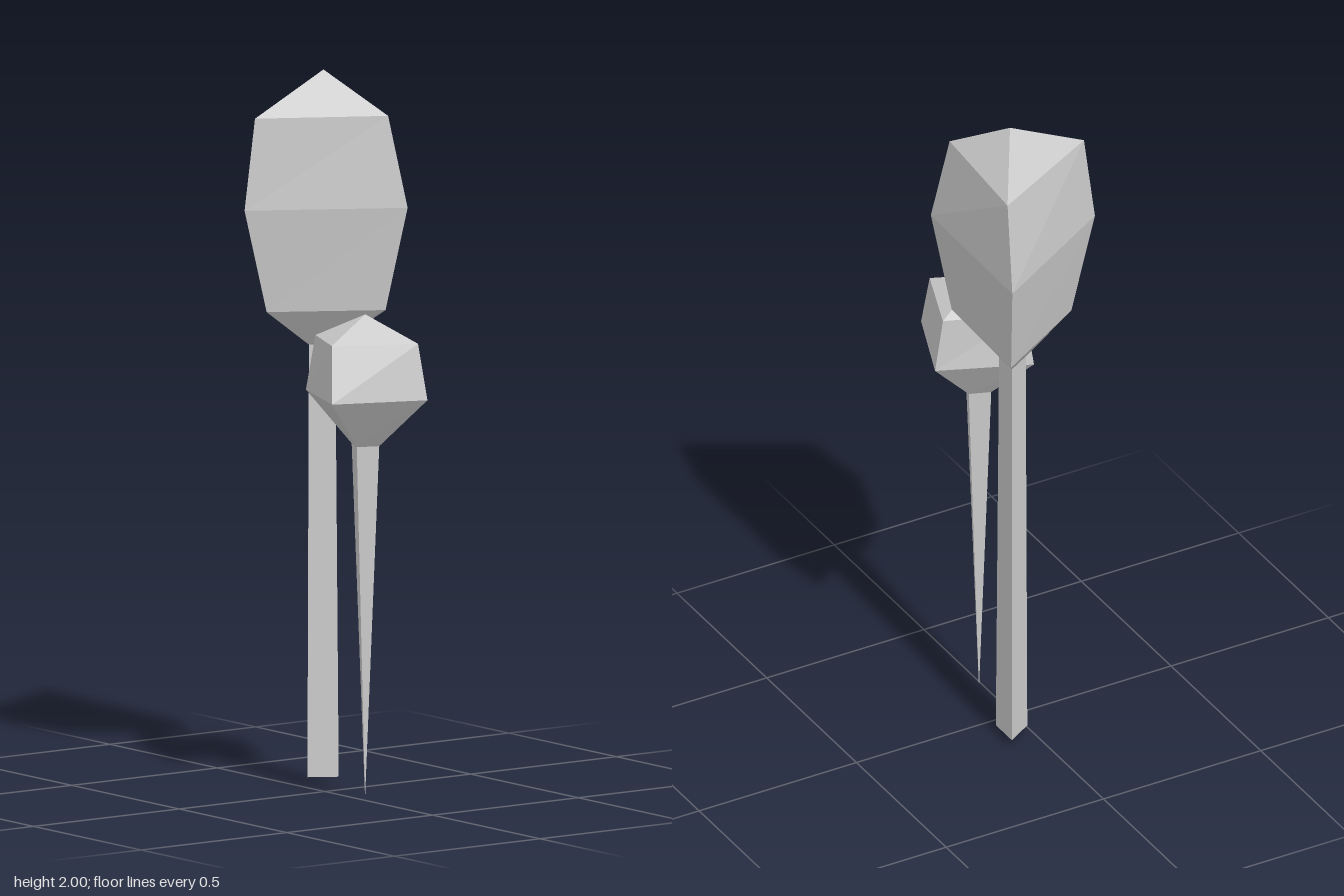
import * as THREE from 'three';

const material = new THREE.MeshStandardMaterial({ color: 0xcccccc, flatShading: true });

// Skin a stack of rings, bottom to top. Each ring is { y, pts: [[x, z], ...] },
// ordered left, front, right, back; a single point makes a tip.
function loft(name, rings, capBottom = false) {
  const pos = [];
  const corner = (ring, i) => {
    const [x, z] = ring.pts[i % ring.pts.length];
    return [x, ring.y, z];
  };
  const tri = (a, b, c) => pos.push(...a, ...b, ...c);
  for (let r = 0; r < rings.length - 1; r++) {
    const low = rings[r], up = rings[r + 1];
    const sides = Math.max(low.pts.length, up.pts.length);
    for (let i = 0; i < sides; i++) {
      const a = corner(low, i), b = corner(low, i + 1);
      const c = corner(up, i + 1), d = corner(up, i);
      if (low.pts.length > 1) tri(a, b, c);
      if (up.pts.length > 1) tri(a, c, d);
    }
  }
  if (capBottom) {
    const ring = rings[0];
    for (let i = 1; i < ring.pts.length - 1; i++) {
      tri(corner(ring, 0), corner(ring, i + 1), corner(ring, i));
    }
  }
  const geometry = new THREE.BufferGeometry();
  geometry.setAttribute('position', new THREE.Float32BufferAttribute(pos, 3));
  geometry.computeVertexNormals();
  const mesh = new THREE.Mesh(geometry, material);
  mesh.name = name;
  return mesh;
}

export function createModel() {
  const model = new THREE.Group();
  model.name = 'trees';

  // Tall tree: three-sided trunk and crown
  const tall = new THREE.Group();
  tall.name = 'tallTree';
  const trunkTop = { y: 1.235, pts: [[-0.14, -0.085], [-0.102, -0.02], [-0.067, -0.085]] };
  tall.add(loft('tallTrunk', [
    { y: 0.025, pts: [[-0.147, -0.09], [-0.102, -0.015], [-0.058, -0.09]] },
    trunkTop,
  ], true));
  tall.add(loft('tallCrown', [
    trunkTop,
    { y: 1.34, pts: [[-0.275, -0.165], [-0.102, 0.125], [0.065, -0.16]] },
    { y: 1.63, pts: [[-0.343, -0.2], [-0.107, 0.197], [0.12, -0.195]] },
    { y: 1.885, pts: [[-0.29, -0.185], [-0.102, 0.165], [0.077, -0.16]] },
    { y: 2, pts: [[-0.102, -0.07]] },
  ]));

  // Small tree: four-sided crown on a spike
  const small = new THREE.Group();
  small.name = 'smallTree';
  const spikeTop = { y: 0.99, pts: [[0.12, -0.003], [0.183, 0.026], [0.205, -0.035], [0.142, -0.062]] };
  small.add(loft('smallTrunk', [{ y: 0, pts: [[0.162, -0.018]] }, spikeTop]));
  small.add(loft('smallCrown', [
    spikeTop,
    { y: 1.13, pts: [[-0.006, 0.061], [0.246, 0.157], [0.341, -0.1], [0.1, -0.193]] },
    { y: 1.285, pts: [[0.022, 0.049], [0.2, 0.124], [0.311, -0.09], [0.1, -0.168]] },
    { y: 1.355, pts: [[0.163, -0.018]] },
  ]));

  model.add(tall, small);
  return model;
}
